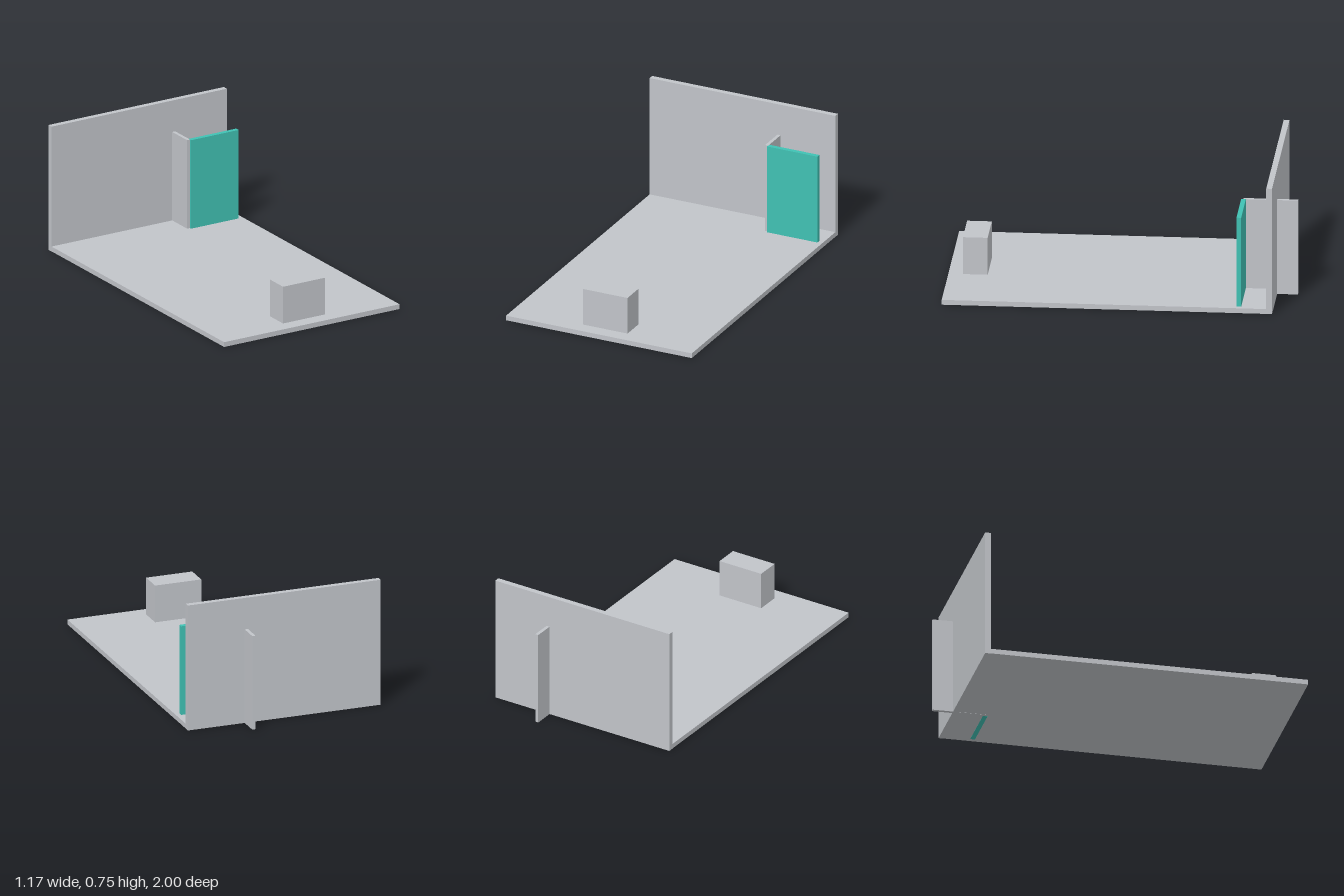
import * as THREE from 'three';

export function createModel() {
  const group = new THREE.Group();
  const grey = new THREE.MeshStandardMaterial({ color: 0xc1c4c9 });
  grey.name = 'light grey';
  const teal = new THREE.MeshStandardMaterial({ color: 0x40c1b3 });
  teal.name = 'teal';

  // Box given by its minimum and maximum corners
  function addBox(name, material, min, max) {
    const size = max.map((v, i) => v - min[i]);
    const mesh = new THREE.Mesh(new THREE.BoxGeometry(...size), material);
    mesh.position.set(...max.map((v, i) => (v + min[i]) / 2));
    mesh.name = name;
    group.add(mesh);
  }

  // Floor slab, raised a hair so the door's lower edge shows beneath it
  addBox('floor', grey, [-0.587, 0.001, -0.848], [0.587, 0.03, 1]);
  addBox('backWall', grey, [-0.587, 0, -0.881], [0.587, 0.755, -0.848]);
  // Fin passing through the back wall
  addBox('partition', grey, [0.221, 0, -1], [0.241, 0.565, -0.688]);
  // Door panel parallel to the wall
  addBox('door', teal, [0.239, 0, -0.703], [0.558, 0.565, -0.676]);
  // Block near the front edge
  addBox('block', grey, [-0.141, 0.03, 0.776], [0.14, 0.252, 0.917]);

  return group;
}
